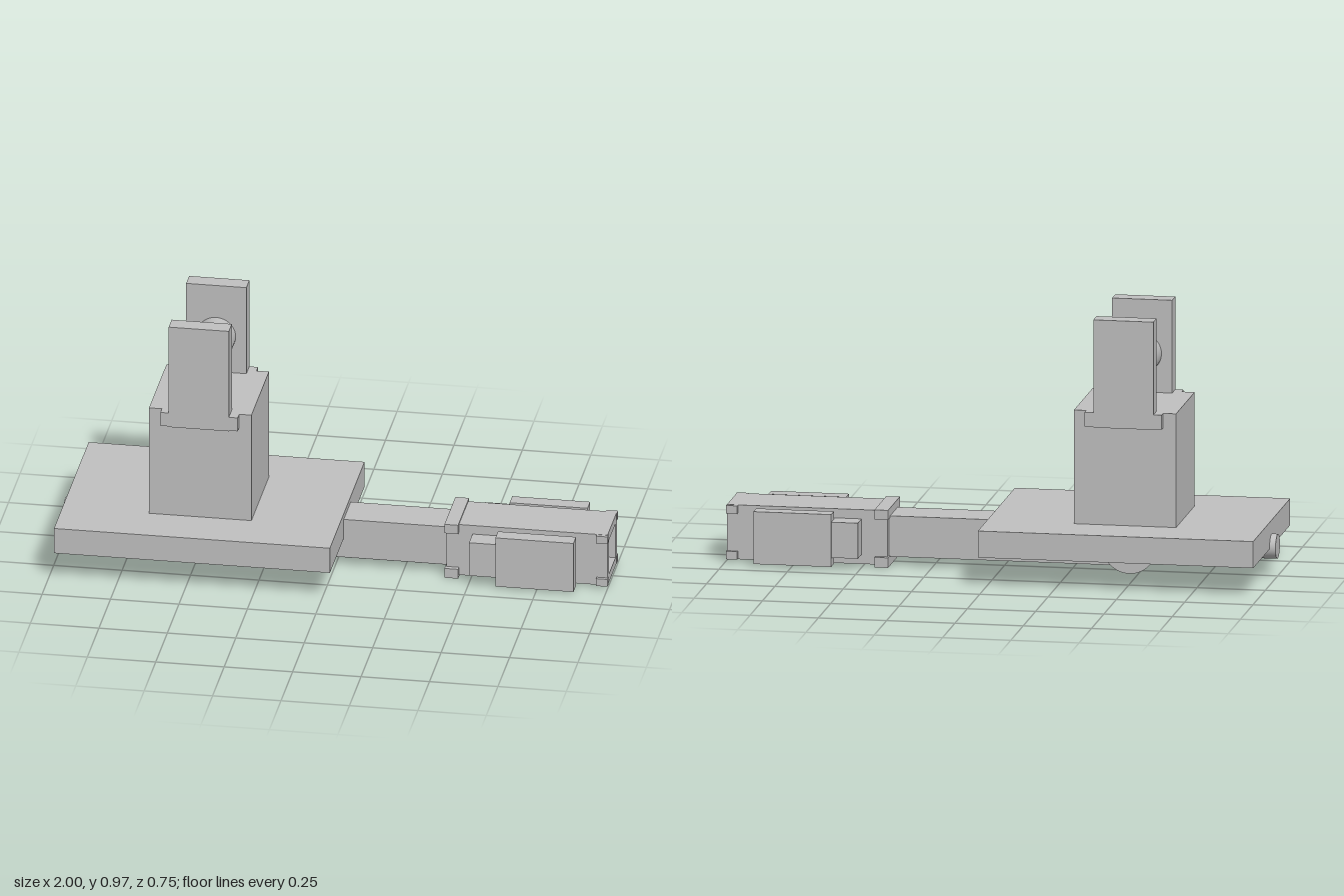
import * as THREE from 'three';

export function createModel() {
  const model = new THREE.Group();
  const grey = new THREE.MeshStandardMaterial({ color: 0xc0c0c0 });
  grey.name = 'plain grey';

  const add = (name, geometry) => {
    const mesh = new THREE.Mesh(geometry, grey);
    mesh.name = name;
    model.add(mesh);
    return mesh;
  };
  // Box given by its limits on each axis
  const box = (name, x0, x1, y0, y1, z0, z1) =>
    add(name, new THREE.BoxGeometry(x1 - x0, y1 - y0, z1 - z0))
      .position.set((x0 + x1) / 2, (y0 + y1) / 2, (z0 + z1) / 2);
  // The same box on both sides of the centre plane
  const pair = (name, x0, x1, y0, y1, z0, z1) => {
    box(name + 'Front', x0, x1, y0, y1, z0, z1);
    box(name + 'Back', x0, x1, y0, y1, -z1, -z0);
  };
  // Cylinder lying along z
  const pin = (name, x, y, radius, length) =>
    add(name, new THREE.CylinderGeometry(radius, radius, length, 48).rotateX(Math.PI / 2))
      .position.set(x, y, 0);

  // Base plate and upright block
  box('basePlate', -0.978, 0.03, 0.108, 0.206, -0.373, 0.373);
  box('uprightBlock', -0.662, -0.288, 0.206, 0.625, -0.188, 0.188);

  // Upper fork with its roller
  pair('forkCheek', -0.585, -0.365, 0.57, 0.967, 0.157, 0.221);
  pair('forkFoot', -0.615, -0.333, 0.572, 0.625, 0.188, 0.22);
  pin('forkRoller', -0.475, 0.769, 0.071, 0.32);

  // Half-round pivot under the plate
  const half = new THREE.Shape();
  half.absarc(0, 0, 0.098, Math.PI, Math.PI * 2, false);
  half.closePath();
  add('halfRoundPivot', new THREE.ExtrudeGeometry(half, {
    depth: 0.2, bevelEnabled: false, curveSegments: 32,
  })).position.set(-0.475, 0.108, -0.1);

  // Rod and arm
  add('tailRod', new THREE.CylinderGeometry(0.045, 0.045, 0.52, 40).rotateZ(Math.PI / 2))
    .position.set(-0.74, 0.11, 0);
  box('arm', -0.4, 0.415, 0.034, 0.184, -0.076, 0.076);

  // Hollow head: floor, roof and two walls
  box('headRoof', 0.41, 0.998, 0.175, 0.208, -0.1, 0.1);
  box('headFloor', 0.41, 0.998, 0.008, 0.04, -0.1, 0.1);
  pair('headWall', 0.41, 0.998, 0.04, 0.175, 0.071, 0.1);

  // Lips along the ends of the roof and floor
  box('collarRoof', 0.405, 0.455, 0.178, 0.213, -0.118, 0.118);
  box('collarFloor', 0.405, 0.455, 0.001, 0.038, -0.118, 0.118);
  for (const [name, y0, y1] of [['Upper', 0.178, 0.207], ['Lower', 0.009, 0.038]]) {
    pair('endLip' + name, 0.958, 1, y0, y1, 0.09, 0.113);
  }

  // Side grips joined by a cross pin
  pair('grip', 0.602, 0.887, 0.01, 0.203, 0.124, 0.18);
  pair('gripTab', 0.505, 0.606, 0.043, 0.174, 0.1, 0.175);
  pin('crossPin', 0.745, 0.108, 0.057, 0.26);

  return model;
}
